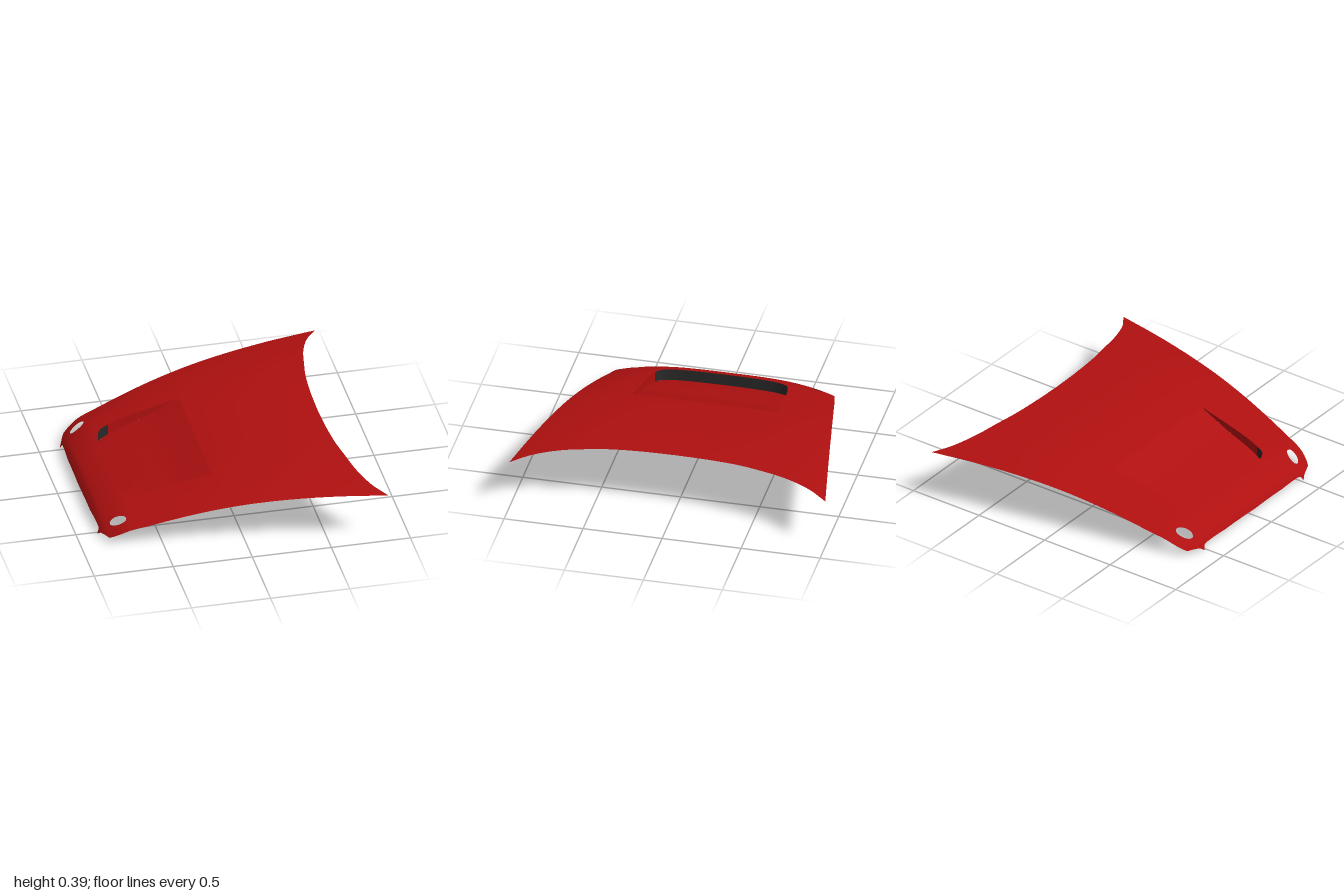
import * as THREE from 'three';

const V2 = (x, z) => new THREE.Vector2(x, z);

// Interpolation through [position, value] knots: straight, or smooth cubic
function knots(pts, smooth = true) {
  const n = pts.length - 1;
  const slope = (i) => {
    const a = pts[Math.max(i - 1, 0)], b = pts[Math.min(i + 1, n)];
    return (b[1] - a[1]) / (b[0] - a[0]);
  };
  return (t) => {
    t = THREE.MathUtils.clamp(t, pts[0][0], pts[n][0]);
    let i = 0;
    while (i < n - 1 && t > pts[i + 1][0]) i++;
    const [x0, y0] = pts[i], [x1, y1] = pts[i + 1], h = x1 - x0, s = (t - x0) / h;
    if (!smooth) return y0 + (y1 - y0) * s;
    const s2 = s * s, s3 = s2 * s;
    return (2 * s3 - 3 * s2 + 1) * y0 + (s3 - 2 * s2 + s) * h * slope(i)
      + (3 * s2 - 2 * s3) * y1 + (s3 - s2) * h * slope(i + 1);
  };
}

// Panel outline: nose edge, rear edge and half width
const noseX = knots([[0, -0.868], [0.3, -0.865], [0.5, -0.854], [0.516, -0.868], [0.54, -0.855], [0.63, -0.82]], false);
const rearX = knots([[0, 0.64], [0.2, 0.645], [0.4, 0.66], [0.55, 0.685], [0.72, 0.72], [0.88, 0.78], [1, 0.86]]);
const halfWidth = knots([[-0.87, 0.57], [-0.852, 0.59], [-0.82, 0.63], [-0.77, 0.665], [-0.71, 0.688],
  [-0.4, 0.755], [0, 0.835], [0.4, 0.912], [0.86, 1]]);

// Heights along the centre line and along the side edge
const centreY = knots([[-0.87, 0.045], [-0.855, 0.07], [-0.83, 0.1], [-0.76, 0.143], [-0.68, 0.177], [-0.5, 0.225],
  [-0.34, 0.262], [-0.12, 0.309], [0, 0.33], [0.2, 0.358], [0.4, 0.378], [0.64, 0.39], [0.86, 0.392]]);
const sideY = knots([[-0.87, -0.02], [-0.852, 0.012], [-0.82, 0.035], [-0.71, 0.1], [-0.6, 0.135], [-0.4, 0.195],
  [-0.2, 0.245], [0, 0.283], [0.2, 0.308], [0.4, 0.323], [0.6, 0.33], [0.86, 0.33]]);
const recessDepth = knots([[-0.69, 0.077], [-0.5, 0.062], [-0.34, 0.046], [-0.2, 0.017], [-0.13, 0]]);

const panelY = (x, z) => {
  const c = centreY(x), s = Math.abs(z) / halfWidth(x);
  return c - (c - sideY(x)) * Math.pow(s, 3.5);
};
const floorY = (x, z) => panelY(x, z) - recessDepth(x);

// Signed distance to a closed outline in x, z: positive outside
function outside(outline) {
  return (x, z) => {
    let best = Infinity, inside = false;
    for (let i = 0, j = outline.length - 1; i < outline.length; j = i++) {
      const a = outline[j], b = outline[i], dx = b.x - a.x, dz = b.y - a.y;
      const t = THREE.MathUtils.clamp(((x - a.x) * dx + (z - a.y) * dz) / (dx * dx + dz * dz || 1), 0, 1);
      best = Math.min(best, Math.hypot(x - a.x - dx * t, z - a.y - dz * t));
      if ((a.y > z) !== (b.y > z) && x < a.x + dx * (z - a.y) / dz) inside = !inside;
    }
    return inside ? -best : best;
  };
}

// Keep the part of a polygon where the field is positive
function clip(poly, field) {
  const f = poly.map((p) => field(p.x, p.y));
  const out = [];
  poly.forEach((p, i) => {
    const j = (i + 1) % poly.length;
    if (f[i] >= 0) out.push(p);
    if ((f[i] >= 0) !== (f[j] >= 0)) out.push(p.clone().lerp(poly[j], f[i] / (f[i] - f[j])));
  });
  return out;
}

// Curved sheet: plan(u, v) gives x, z; height gives y; fields cut the openings
function sheet(nu, nv, plan, height, fields) {
  const pos = [], nor = [], e = 0.003, n = new THREE.Vector3();
  const add = (p) => {
    pos.push(p.x, height(p.x, p.y), p.y);
    n.set(height(p.x - e, p.y) - height(p.x + e, p.y), 2 * e, height(p.x, p.y - e) - height(p.x, p.y + e)).normalize();
    nor.push(n.x, n.y, n.z);
  };
  for (let i = 0; i < nu; i++) for (let j = 0; j < nv; j++) {
    const [a, b, c, d] = [[i, j], [i, j + 1], [i + 1, j + 1], [i + 1, j]].map(([p, q]) => plan(p / nu, q / nv));
    for (const tri of [[a, b, c], [a, c, d]]) {
      const poly = fields.reduce((p, f) => clip(p, f), tri);
      for (let k = 1; k < poly.length - 1; k++) [poly[0], poly[k], poly[k + 1]].forEach(add);
    }
  }
  const g = new THREE.BufferGeometry();
  g.setAttribute('position', new THREE.Float32BufferAttribute(pos, 3));
  g.setAttribute('normal', new THREE.Float32BufferAttribute(nor, 3));
  return g;
}

// Upright strip between the panel and the recess floor
function wall(points) {
  const pos = [], idx = [];
  points.forEach((p, i) => {
    pos.push(p.x, panelY(p.x, p.y), p.y, p.x, floorY(p.x, p.y), p.y);
    const k = i * 2;
    if (i) idx.push(k - 2, k - 1, k, k, k - 1, k + 1);
  });
  const g = new THREE.BufferGeometry();
  g.setAttribute('position', new THREE.Float32BufferAttribute(pos, 3));
  g.setIndex(idx);
  g.computeVertexNormals();
  return g;
}

export function createModel() {
  const group = new THREE.Group();
  const paint = new THREE.MeshStandardMaterial({ color: 0xb01010, side: THREE.DoubleSide });
  const dark = new THREE.MeshStandardMaterial({ color: 0x2a2a2a, side: THREE.DoubleSide });
  const add = (name, geometry, material) => {
    const mesh = new THREE.Mesh(geometry, material);
    mesh.name = name;
    group.add(mesh);
  };

  // U-shaped recess outline, mirrored about z = 0
  const half = [[-0.13, 0.457], [-0.3, 0.448], [-0.5, 0.435], [-0.6, 0.415], [-0.635, 0.402], [-0.656, 0.372],
    [-0.67, 0.33], [-0.678, 0.27], [-0.685, 0.13]].map(([x, z]) => V2(x, z));
  const path = [...half, V2(-0.688, 0), ...half.slice().reverse().map((p) => V2(p.x, -p.y))];
  const outline = new THREE.SplineCurve(path).getPoints(90);
  const outsideRecess = outside(outline);

  // Oval openings near the nose corners
  const openings = [1, -1].map((side) => {
    const pts = [];
    for (let i = 0; i < 28; i++) {
      const a = (i / 28) * Math.PI * 2, p = Math.cos(a) * 0.054, q = Math.sin(a) * 0.031;
      const c = Math.cos(0.6), s = Math.sin(0.6);
      pts.push(V2(-0.749 + p * c - q * s, side * (0.565 + p * s + q * c)));
    }
    return outside(pts);
  });

  // Main panel, with finer rows at the nose
  const panelPlan = (u, v) => {
    const t = Math.pow(u, 1.4), w = 2 * v - 1;
    const z = w * halfWidth(-0.82 + 1.68 * t);
    const x = THREE.MathUtils.lerp(noseX(Math.abs(w) * 0.63), rearX(Math.abs(w)), t);
    return V2(x, z);
  };
  add('bonnetPanel', sheet(80, 100, panelPlan, panelY, [outsideRecess, ...openings]), paint);

  // Sunken floor rising to meet the panel
  const floorPlan = (u, v) => V2(-0.7 + 0.58 * u, -0.47 + 0.94 * v);
  add('recessFloor', sheet(40, 50, floorPlan, floorY, [(x, z) => -outsideRecess(x, z)]), paint);

  // Dark vent wall across the front, painted walls along the sides
  const first = outline.findIndex((p) => p.x < -0.57);
  const last = outline.length - 1 - first;
  add('ventWall', wall(outline.slice(first, last + 1)), dark);
  add('leftRecessWall', wall(outline.slice(0, first + 1)), paint);
  add('rightRecessWall', wall(outline.slice(last)), paint);
  return group;
}
